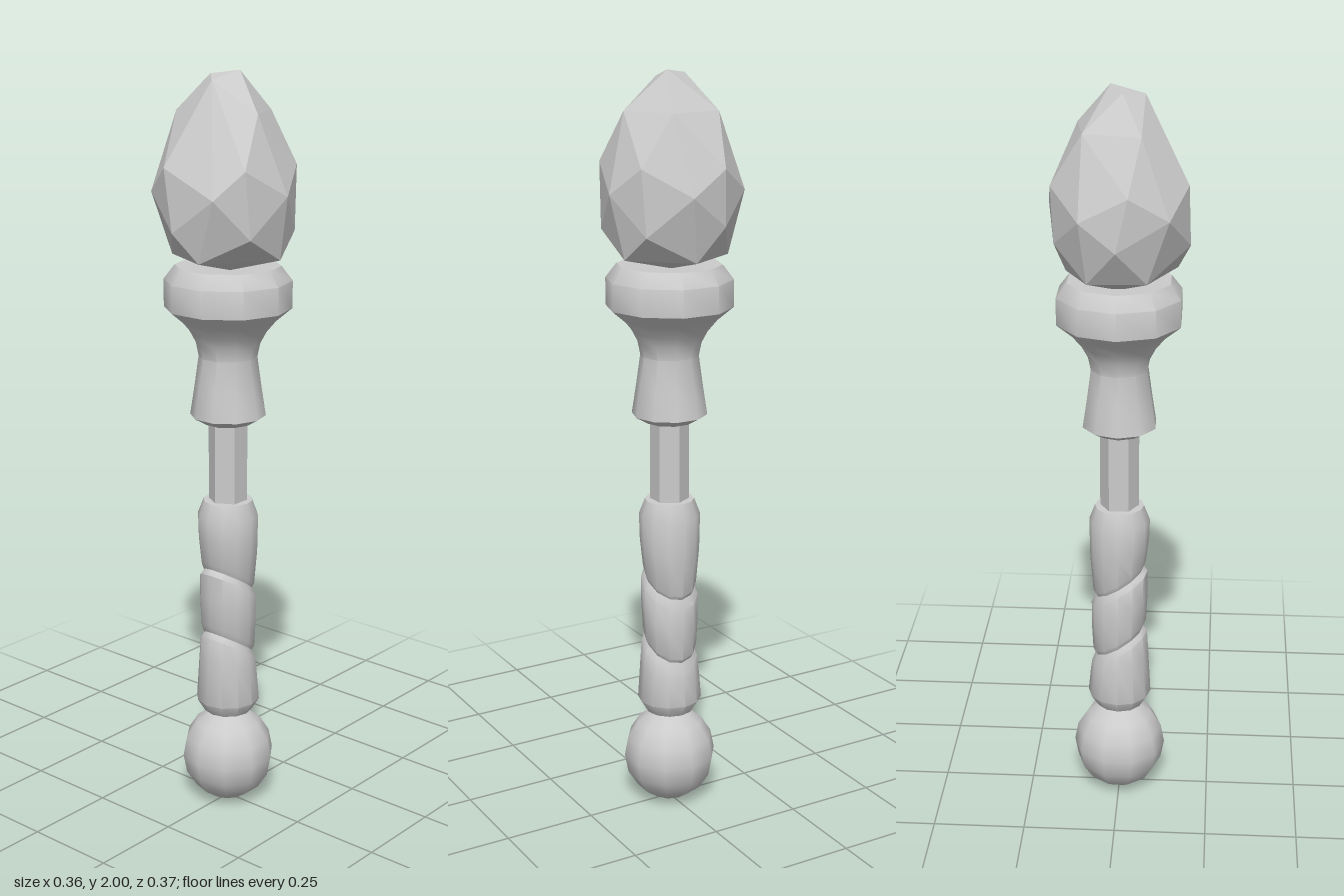
import * as THREE from 'three';
import { toCreasedNormals } from 'three/addons/utils/BufferGeometryUtils.js';
import { ConvexGeometry } from 'three/addons/geometries/ConvexGeometry.js';

const material = new THREE.MeshStandardMaterial({ color: 0xcccccc });
const facetMaterial = new THREE.MeshStandardMaterial({ color: 0xcccccc, flatShading: true });

function add(group, name, geometry, mat = material) {
  const mesh = new THREE.Mesh(geometry, mat);
  mesh.name = name;
  group.add(mesh);
  return mesh;
}

// Turned part from [radius, height] pairs listed bottom to top
function turned(profile, sides) {
  return new THREE.LatheGeometry(profile.map(([r, y]) => new THREE.Vector2(r, y)), sides);
}

export function createModel() {
  const group = new THREE.Group();

  // Irregular cut gem: crown, girdle and base corners
  const corners = [
    [0.023, 2.0, 0.02], [-0.064, 1.98, 0.002], [-0.01, 1.99, -0.05],
    [0.107, 1.9, 0.052], [-0.025, 1.9, 0.118], [0.086, 1.9, -0.093], [-0.06, 1.9, -0.12],
    [-0.175, 1.77, -0.06], [0.168, 1.765, -0.064], [-0.03, 1.765, -0.182],
    [-0.105, 1.77, 0.145], [0.103, 1.77, 0.14],
    [0.18, 1.7, 0.034], [0.015, 1.7, 0.182], [-0.166, 1.7, 0.093],
    [-0.13, 1.7, -0.145], [0.092, 1.7, -0.168],
    [-0.18, 1.61, -0.03], [0, 1.63, -0.185], [0.16, 1.62, -0.07], [0.11, 1.6, 0.13], [-0.09, 1.6, 0.15],
    [-0.148, 1.535, 0.03], [0.137, 1.53, 0.0], [0.03, 1.535, 0.148],
    [-0.075, 1.535, -0.125], [0.075, 1.535, -0.13],
    [-0.05, 1.51, 0.05], [0.06, 1.51, 0.03], [0, 1.5, -0.06],
  ];
  add(group, 'gem', new ConvexGeometry(corners.map((c) => new THREE.Vector3(...c))), facetMaterial);

  // Flared socket holding the gem
  const socket = turned([
    [0, 1.09], [0.065, 1.092], [0.1, 1.112], [0.088, 1.19], [0.077, 1.27], [0.084, 1.305],
    [0.1, 1.335], [0.125, 1.365], [0.167, 1.4], [0.167, 1.472], [0.138, 1.51], [0, 1.505],
  ], 10);
  add(group, 'socket', toCreasedNormals(socket, 0.66));

  // Hexagonal rod with corners on the x axis
  const rod = new THREE.CylinderGeometry(0.052, 0.052, 0.3, 6);
  rod.rotateY(Math.PI / 2);
  add(group, 'rod', rod, facetMaterial).position.y = 0.98;

  // Wrapped grip: [radius, height, tilt], the seams lean down toward +x
  const grip = [
    [0, 0.265, 0], [0.066, 0.268, 0], [0.087, 0.302, 0], [0.08, 0.4, 0.35], [0.076, 0.447, 0.65],
    [0.066, 0.467, 0.65], [0.073, 0.482, 0.65], [0.077, 0.56, 0.65], [0.077, 0.63, 0.65],
    [0.066, 0.65, 0.65], [0.072, 0.664, 0.65], [0.08, 0.75, 0.35], [0.082, 0.835, 0],
    [0.066, 0.877, 0], [0, 0.88, 0],
  ];
  const gripGeometry = turned(grip, 12);
  const p = gripGeometry.attributes.position;
  for (let i = 0; i < p.count; i++) {
    p.setY(i, p.getY(i) - grip[i % grip.length][2] * p.getX(i));
  }
  add(group, 'grip', toCreasedNormals(gripGeometry, 0.66));

  // Rounded pommel
  const pommel = new THREE.SphereGeometry(0.127, 10, 8);
  pommel.scale(1, 1.06, 1);
  add(group, 'pommel', pommel).position.y = 0.135;

  return group;
}
